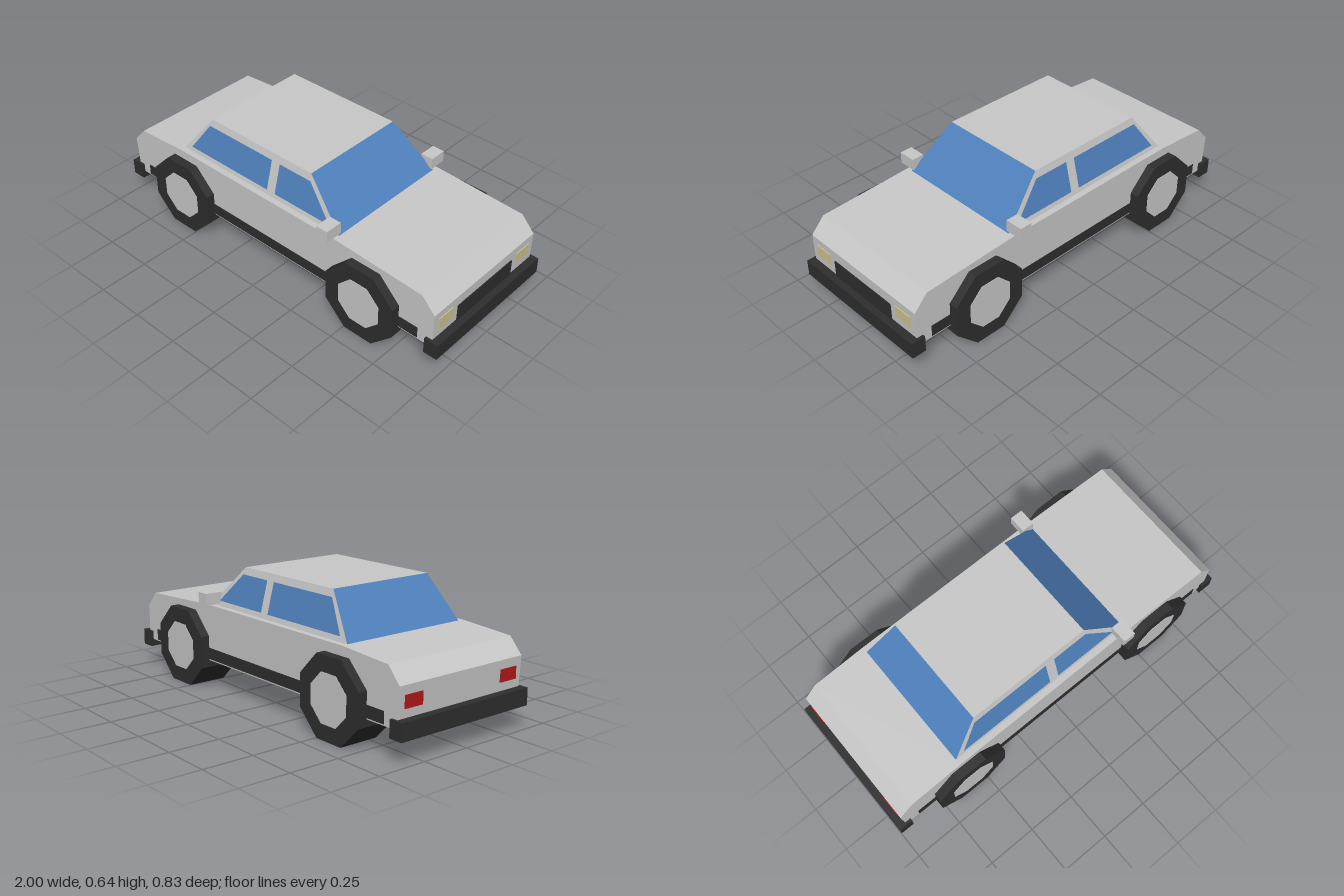
import * as THREE from 'three';

const mat = (name, color) => Object.assign(new THREE.MeshStandardMaterial({ color }), { name });

export function createModel() {
  const paint = mat('silver paint', 0xc8c8c8);
  const glass = mat('blue glass', 0x4f81bd);
  const rubber = mat('black trim', 0x2e2e2e);
  const lamp = mat('headlight cream', 0xccc491);
  const red = mat('tail light red', 0xb01818);

  const car = new THREE.Group();
  car.name = 'car';
  const add = (name, geometry, material) => {
    const mesh = new THREE.Mesh(geometry, material);
    mesh.name = name;
    car.add(mesh);
    return mesh;
  };
  // Box given by its limits on each axis
  const box = (name, material, [x0, x1], [y0, y1], [z0, z1]) =>
    add(name, new THREE.BoxGeometry(x1 - x0, y1 - y0, z1 - z0), material)
      .position.set((x0 + x1) / 2, (y0 + y1) / 2, (z0 + z1) / 2);
  // Flat convex panel, wound so that it faces along "out"
  const panel = (name, material, corners, out) => {
    const p = corners.map(c => new THREE.Vector3(...c));
    const n = p[1].clone().sub(p[0]).cross(p[2].clone().sub(p[0]));
    if (n.dot(new THREE.Vector3(...out)) < 0) p.reverse();
    const tris = [];
    for (let i = 1; i < p.length - 1; i++) tris.push(p[0], p[i], p[i + 1]);
    const g = new THREE.BufferGeometry().setFromPoints(tris);
    g.computeVertexNormals();
    add(name, g, material);
  };

  // Lower body: side profile extruded across the width
  const profile = [[-0.957, 0.147], [0.96, 0.147], [0.963, 0.33], [0.893, 0.405],
    [0.40, 0.43], [-0.615, 0.43], [-0.90, 0.411], [-0.968, 0.335]];
  const shape = new THREE.Shape(profile.map(p => new THREE.Vector2(...p)));
  const body = new THREE.ExtrudeGeometry(shape, { depth: 0.735, bevelEnabled: false });
  body.translate(0, 0, -0.3675);
  add('body', body, paint);

  // Cabin: tapered shell with full-width front and rear glass
  const yB = 0.43, yT = 0.636, zB = 0.337, zT = 0.283;
  const rearB = -0.615, rearT = -0.46, frontB = 0.40, frontT = 0.185;
  const sideZ = y => zB + (zT - zB) * (y - yB) / (yT - yB);
  panel('roof', paint, [[rearT, yT, zT], [frontT, yT, zT], [frontT, yT, -zT], [rearT, yT, -zT]], [0, 1, 0]);
  panel('windshield', glass, [[frontB, yB, zB], [frontB, yB, -zB], [frontT, yT, -zT], [frontT, yT, zT]], [1, 0, 0]);
  panel('rearWindow', glass, [[rearB, yB, zB], [rearB, yB, -zB], [rearT, yT, -zT], [rearT, yT, zT]], [-1, 0, 0]);

  const windows = {
    rearSideWindow: [[-0.565, 0.454], [-0.05, 0.454], [-0.05, 0.602], [-0.465, 0.602]],
    frontSideWindow: [[0, 0.454], [0.338, 0.454], [0.19, 0.602], [0, 0.602]],
  };

  for (const s of [1, -1]) {
    const span = (a, b) => (s > 0 ? [a, b] : [-b, -a]);
    const out = [0, 0, s];

    panel('cabinSide', paint, [[rearB, yB, s * zB], [frontB, yB, s * zB], [frontT, yT, s * zT], [rearT, yT, s * zT]], out);
    for (const [name, pts] of Object.entries(windows))
      panel(name, glass, pts.map(([x, y]) => [x, y, s * (sideZ(y) + 0.003)]), out);

    box('mirror', paint, [0.335, 0.40], [0.44, 0.498], span(0.325, 0.415));
    box('sill', rubber, [-0.88, 0.88], [0.154, 0.211], span(0.364, 0.37));
    box('headlight', lamp, [0.959, 0.967], [0.235, 0.293], span(0.236, 0.334));
    box('tailLight', red, [-0.97, -0.962], [0.235, 0.293], span(0.236, 0.334));

    // Octagonal wheels standing on a flat
    for (const x of [-0.583, 0.583]) {
      const disc = (name, apothem, depth, z, material) => {
        const r = apothem / Math.cos(Math.PI / 8);
        const g = new THREE.CylinderGeometry(r, r, depth, 8).toNonIndexed();
        g.rotateY(Math.PI / 8).rotateX(Math.PI / 2);
        g.computeVertexNormals();
        add(name, g, material).position.set(x, 0.192, s * z);
      };
      disc('tyre', 0.192, 0.203, 0.3115, rubber);
      disc('hub', 0.116, 0.006, 0.412, paint);
    }
  }

  // Front grille and full-width bumpers
  box('grille', rubber, [0.958, 0.967], [0.17, 0.277], [-0.2, 0.2]);
  box('frontBumper', rubber, [0.928, 1], [0.11, 0.192], [-0.382, 0.382]);
  box('rearBumper', rubber, [-1, -0.928], [0.11, 0.192], [-0.382, 0.382]);

  return car;
}
